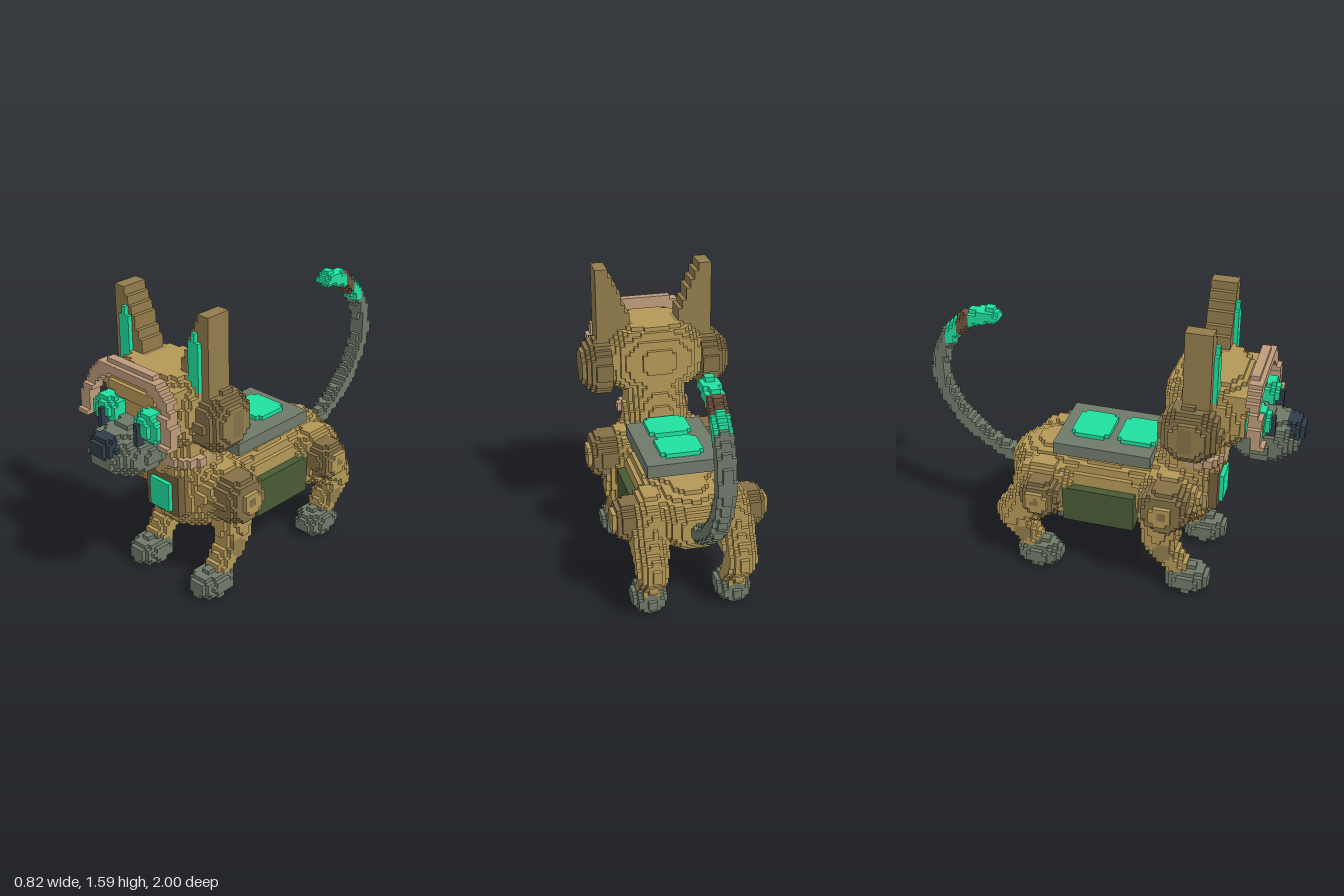
import * as THREE from 'three';

const H = 2 / 88;                       // cube size
const NX = 20, NY = 72, NZ = 46;        // grid half width, height, half depth

const mat = (name, color) => {
  const m = new THREE.MeshStandardMaterial({ color });
  m.name = name;
  return m;
};

// shape tests: each returns (x, y, z) => inside?
const box = (x0, x1, y0, y1, z0, z1) => (x, y, z) =>
  x > x0 && x < x1 && y > y0 && y < y1 && z > z0 && z < z1;
const blob = (cx, cy, cz, rx, ry, rz, p = 2) => (x, y, z) =>
  Math.abs((x - cx) / rx) ** p + Math.abs((y - cy) / ry) ** p + Math.abs((z - cz) / rz) ** p < 1;
// disc lying in the side plane
const disc = (x0, x1, cy, cz, r) => (x, y, z) =>
  x > x0 && x < x1 && Math.hypot(y - cy, z - cz) < r;
// tapered limb from a to b, made slimmer across x by the factor slim
const limb = (a, b, ra, rb, slim = 1) => (x, y, z) => {
  const d = b.map((v, i) => v - a[i]);
  const p = [x - a[0], y - a[1], z - a[2]];
  const dot = (u, v) => u[0] * v[0] + u[1] * v[1] + u[2] * v[2];
  const t = Math.min(1, Math.max(0, dot(p, d) / dot(d, d)));
  return Math.hypot((p[0] - d[0] * t) * slim, p[1] - d[1] * t, p[2] - d[2] * t) < ra + (rb - ra) * t;
};
const any = (...tests) => (x, y, z) => tests.some((t) => t(x, y, z));

export function createModel() {
  const gold = mat('gold fur', 0xb59858);
  const brown = mat('brown', 0x927c4c);
  const bronze = mat('dark bronze', 0x857047);
  const darkBrown = mat('dark brown', 0x745f3c);
  const umber = mat('umber', 0x705540);
  const gray = mat('gray metal', 0x6f7a69);
  const green = mat('glowing green', 0x20e0a0);
  const olive = mat('olive panel', 0x485a35);
  const pink = mat('dusty copper', 0xbf9c7c);
  const navy = mat('dark navy', 0x303e49);

  const parts = [];
  const cells = new Map();
  const key = (i, j, k) => ((i + 64) * 128 + j + 8) * 128 + k + 64;

  // fills cubes; later parts replace earlier ones
  const fill = (name, material, test) => {
    const part = { name, material, cubes: [] };
    parts.push(part);
    for (let i = -NX; i < NX; i++)
      for (let j = 0; j < NY; j++)
        for (let k = -NZ; k < NZ; k++)
          if (test((i + 0.5) * H, (j + 0.5) * H, (k + 0.5) * H)) cells.set(key(i, j, k), { part, i, j, k });
  };
  const pair = (name, material, test) => {
    fill('left ' + name, material, (x, y, z) => x > 0 && test(x, y, z));
    fill('right ' + name, material, (x, y, z) => x < 0 && test(-x, y, z));
  };

  // trunk and neck
  fill('torso', gold, any(
    blob(0, 0.53, 0.34, 0.25, 0.225, 0.25),
    blob(0, 0.67, 0.42, 0.215, 0.11, 0.16),
    blob(0, 0.52, 0, 0.235, 0.19, 0.42, 2.6),
    blob(0, 0.52, -0.31, 0.23, 0.165, 0.25)));
  fill('neck', gold, limb([0, 1.0, 0.5], [0, 0.68, 0.42], 0.16, 0.18));
  fill('collar', pink, (x, y, z) => y > 0.75 && y < 0.80 && Math.hypot(x / 0.2, (z - 0.5) / 0.125) < 1);

  // legs
  pair('shoulder', gold, blob(0.2, 0.56, 0.36, 0.12, 0.15, 0.155));
  pair('front leg', gold, any(
    limb([0.228, 0.5, 0.33], [0.23, 0.29, 0.32], 0.13, 0.092, 1.25),
    limb([0.23, 0.27, 0.325], [0.225, 0.12, 0.44], 0.073, 0.062)));
  pair('haunch', gold, blob(0.21, 0.5, -0.32, 0.11, 0.165, 0.17));
  pair('hind leg', gold, any(
    limb([0.228, 0.45, -0.36], [0.23, 0.31, -0.49], 0.13, 0.095, 1.25),
    limb([0.23, 0.3, -0.49], [0.225, 0.12, -0.38], 0.082, 0.06)));
  pair('knee joint', brown, disc(0.27, 0.3, 0.24, 0.345, 0.055));
  pair('hock joint', brown, disc(0.27, 0.3, 0.21, -0.43, 0.05));
  for (const [where, z] of [['front', 0.475], ['hind', -0.35]])
    pair(where + ' paw', gray, blob(0.227, 0.073, z, 0.09, 0.08, 0.123, 2.1));

  // stepped round joint caps on shoulders and hips
  for (const [where, y, z, r] of [['shoulder', 0.56, 0.36, 0.13], ['hip', 0.515, -0.31, 0.106]]) {
    pair(where + ' cap', bronze, any(
      disc(0.2, 0.341, y, z, r),
      disc(0.34, 0.364, y, z, r * 0.92),
      disc(0.36, 0.387, y, z, r * 0.82)));
    pair(where + ' ring', gold, disc(0.36, 0.41, y, z, 0.06));
    pair(where + ' hub', bronze, disc(0.38, 0.41, y, z, 0.026));
  }

  // armour panels
  pair('side panel', olive, box(0.19, 0.262, 0.34, 0.555, -0.205, 0.182));
  fill('back plate', gray, box(-0.194, 0.194, 0.705, 0.774, -0.275, 0.252));
  for (const [where, z] of [['front', 0.148], ['rear', -0.102]])
    fill(where + ' solar tile', green, (x, y, z0) =>
      y > 0.774 && y < 0.797 && Math.abs(x) < 0.125 && Math.abs(z0 - z) < 0.1 &&
      Math.abs(x) + Math.abs(z0 - z) < 0.19);
  fill('chest frame', darkBrown, box(-0.118, 0.118, 0.46, 0.68, 0.5, 0.592));
  fill('chest light', green, box(-0.07, 0.07, 0.48, 0.635, 0.58, 0.615));

  // head
  const skull = blob(0, 1.085, 0.525, 0.295, 0.22, 0.225, 2.4);
  fill('head', gold, (x, y, z) => skull(x, y, z) && y < 1.275);
  fill('brow', gold, blob(0, 1.18, 0.68, 0.235, 0.055, 0.085, 4));
  pair('eye socket', gold, blob(0.145, 1.06, 0.67, 0.105, 0.1, 0.085));
  pair('ear pod', bronze, any(
    disc(0.25, 0.341, 1.045, 0.475, 0.152),
    disc(0.34, 0.364, 1.045, 0.475, 0.142),
    disc(0.36, 0.387, 1.045, 0.475, 0.122)));
  pair('ear pod ring', brown, disc(0.38, 0.41, 1.045, 0.475, 0.09));
  pair('ear pod hub', bronze, (x, y, z) =>
    x > 0.387 && x < 0.41 && Math.abs(z - 0.475) < 0.036 && Math.abs(y - 1.045) < 0.07);

  // tall ears, sloped on the inner edge
  const innerEdge = (y) => 0.1 + 0.145 * Math.max(0, (y - 1.2) / 0.36) ** 1.2;
  pair('ear', brown, (x, y, z) =>
    y > 1.16 && y < 1.595 && z > 0.43 && z < 0.568 && x > innerEdge(y) && x < 0.31);
  pair('inner ear', green, (x, y, z) =>
    y > 1.2 && y < 1.5 && z > 0.55 && z < 0.60 &&
    x > Math.max(0.195, innerEdge(y) + 0.025) && x < 0.275 - 0.09 * Math.max(0, y - 1.3));

  // muzzle, nose and eyes
  fill('muzzle', gray, any(
    blob(0, 0.915, 0.795, 0.175, 0.118, 0.19, 2.1),
    blob(0, 0.98, 0.76, 0.09, 0.075, 0.12)));
  fill('nose', navy, blob(0, 0.97, 0.945, 0.08, 0.06, 0.055, 2.1));
  pair('eye', green, blob(0.145, 1.06, 0.782, 0.08, 0.075, 0.055, 2.4));
  pair('pupil', navy, box(0.113, 0.14, 0.985, 1.085, 0.815, 0.86));

  // arched visor in front of the forehead
  const arch = (x, y, rx, ry) =>
    Math.abs(x / rx) ** 2.6 + (Math.max(0, y - 1.02) / ry) ** 2.6;
  fill('visor', pink, (x, y, z) =>
    y > 0.995 && Math.abs(z - 0.755 - (1.3 - y) * 0.16) < 0.03 &&
    arch(x, y, 0.312, 0.305) < 1 && arch(x, y, 0.258, 0.235) > 1);

  // curved tail with coloured bands
  const tailCurve = new THREE.CatmullRomCurve3([
    [0.51, -0.42], [0.53, -0.58], [0.61, -0.72], [0.74, -0.86], [0.97, -0.962],
    [1.15, -0.93], [1.25, -0.86], [1.33, -0.77], [1.362, -0.65],
  ].map(([y, z]) => new THREE.Vector3(0, y, z)));
  const tailPoints = tailCurve.getPoints(90);
  const tail = (z0, z1, yMin) => (x, y, z) =>
    Math.abs(x) < 0.046 && y > yMin && z > z0 && z < z1 &&
    tailPoints.some((p) => Math.hypot(x * 0.9, y - p.y, z - p.z) < 0.041);
  fill('tail', gray, tail(-1.0, -0.42, 0));
  fill('tail green band', green, tail(-0.9, -0.83, 1.18));
  fill('tail brown band', umber, tail(-0.83, -0.77, 1.18));
  fill('tail tip', green, tail(-0.77, -0.6, 1.18));

  // build the exposed cube faces of each part
  for (const c of cells.values()) c.part.cubes.push(c);
  const group = new THREE.Group();
  group.name = 'robot dog';
  for (const { name, material, cubes } of parts) {
    const pos = [];
    for (const { i, j, k } of cubes) {
      const c = [i, j, k];
      for (let a = 0; a < 3; a++) {
        for (const s of [0, 1]) {
          const n = [...c];
          n[a] += s ? 1 : -1;
          if (cells.has(key(...n))) continue;
          const corner = (u, v) => {
            const p = [...c];
            p[a] += s;
            p[(a + 1) % 3] += u;
            p[(a + 2) % 3] += v;
            return p.map((q) => q * H);
          };
          const q = [corner(0, 0), corner(1, 0), corner(1, 1), corner(0, 1)];
          if (!s) q.reverse();
          for (const m of [0, 1, 2, 0, 2, 3]) pos.push(...q[m]);
        }
      }
    }
    if (!pos.length) continue;
    const geometry = new THREE.BufferGeometry();
    geometry.setAttribute('position', new THREE.Float32BufferAttribute(pos, 3));
    geometry.computeVertexNormals();
    const mesh = new THREE.Mesh(geometry, material);
    mesh.name = name;
    group.add(mesh);
  }
  return group;
}
